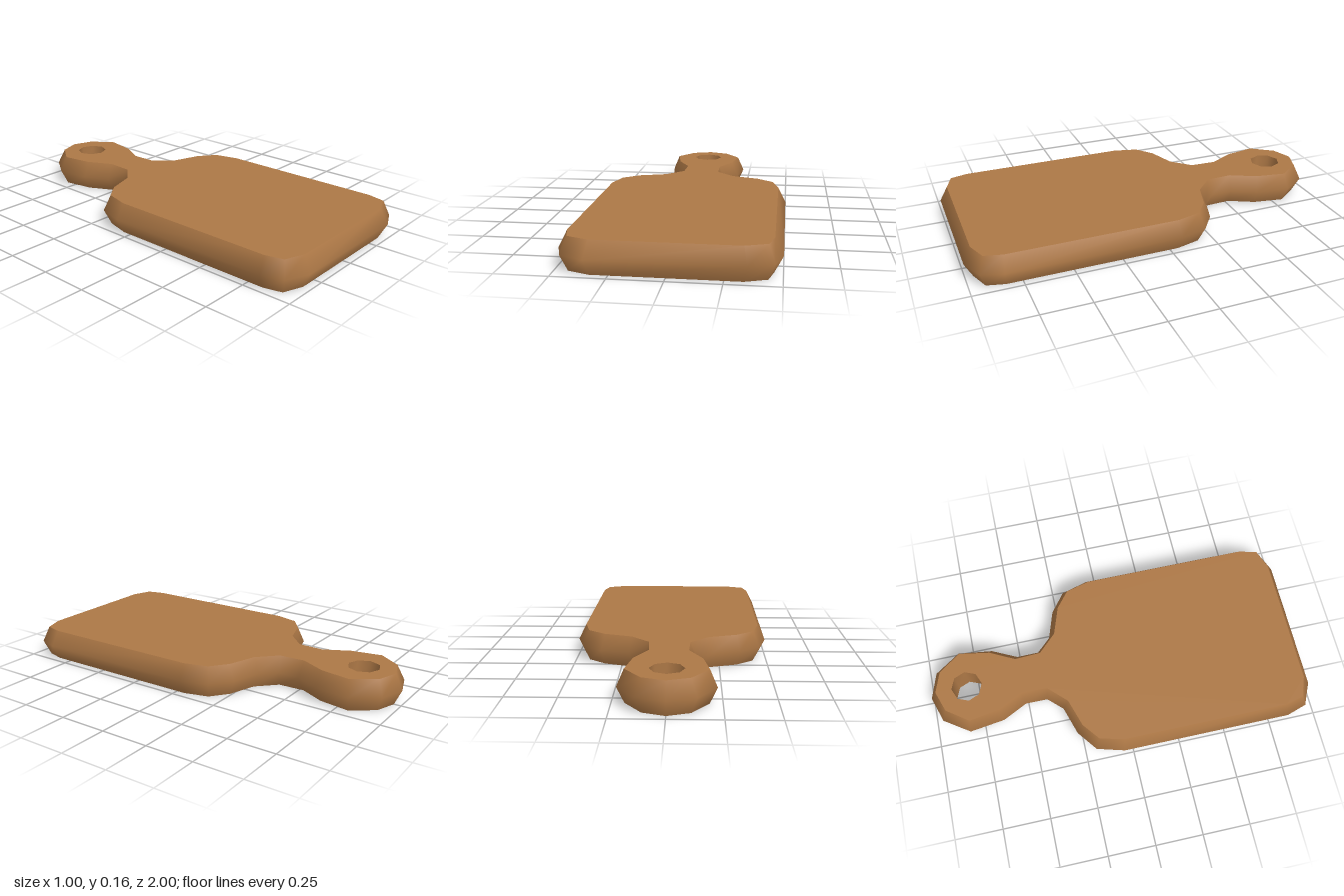
import * as THREE from 'three';

const THICKNESS = 0.16;

// Right half of the outline: widest edge [x, z] and the matching face edge [x, z]
const half = [
  [0, -1, 0, -0.963], [0.135, -0.956, 0.108, -0.925], [0.225, -0.823, 0.19, -0.81],
  [0.2, -0.64, 0.162, -0.65], [0.136, -0.51, 0.096, -0.52], [0.137, -0.395, 0.102, -0.383],
  [0.208, -0.32, 0.195, -0.288], [0.355, -0.273, 0.34, -0.24], [0.46, -0.193, 0.428, -0.17],
  [0.5, -0.05, 0.46, -0.045], [0.5, 0.84, 0.46, 0.83], [0.466, 0.947, 0.437, 0.922],
  [0.35, 1, 0.335, 0.96],
];

// Full closed loop, mirrored in x
function loop(k) {
  const right = half.map((p) => [p[k], p[k + 1]]);
  const left = right.slice(1).reverse().map(([x, z]) => [-x, z]);
  return [...right, ...left];
}

// Smooth wall through closed rings of equal length, given from bottom to top
function wall(rings) {
  const n = rings[0].points.length;
  const position = [];
  const index = [];
  rings.forEach(({ points, y }) => points.forEach(([x, z]) => position.push(x, y, z)));
  for (let r = 0; r < rings.length - 1; r++) {
    for (let i = 0; i < n; i++) {
      const a = r * n + i;
      const b = r * n + ((i + 1) % n);
      index.push(a, a + n, b, b, a + n, b + n);
    }
  }
  const geometry = new THREE.BufferGeometry();
  geometry.setAttribute('position', new THREE.Float32BufferAttribute(position, 3));
  geometry.setIndex(index);
  geometry.computeVertexNormals();
  return geometry;
}

// Flat face with the hanging hole; side is 1 for the top, -1 for the bottom
function face(edge, hole, side) {
  const toPlane = ([x, z]) => new THREE.Vector2(x, -side * z);
  const shape = new THREE.Shape(edge.map(toPlane));
  shape.holes.push(new THREE.Path(hole.map(toPlane)));
  const geometry = new THREE.ShapeGeometry(shape);
  geometry.rotateX(-side * Math.PI / 2);
  return geometry.translate(0, side > 0 ? THICKNESS : 0, 0);
}

export function createModel() {
  const group = new THREE.Group();
  group.name = 'cuttingBoard';
  const wood = new THREE.MeshStandardMaterial({ color: 0xad7846 });
  wood.name = 'wood';

  const add = (name, geometry) => {
    const mesh = new THREE.Mesh(geometry, wood);
    mesh.name = name;
    group.add(mesh);
  };

  const rim = loop(0);
  const edge = loop(2);
  // Octagonal hole, wound so that its wall faces inward
  const hole = Array.from({ length: 8 }, (_, i) => {
    const a = (-i * Math.PI) / 4;
    return [0.081 * Math.cos(a), -0.797 + 0.081 * Math.sin(a)];
  });

  add('topFace', face(edge, hole, 1));
  add('bottomFace', face(edge, hole, -1));
  add('bevelledRim', wall([
    { points: edge, y: 0 },
    { points: rim, y: THICKNESS / 2 },
    { points: edge, y: THICKNESS },
  ]));
  add('hangingHole', wall([
    { points: hole, y: 0 },
    { points: hole, y: THICKNESS },
  ]));
  return group;
}
